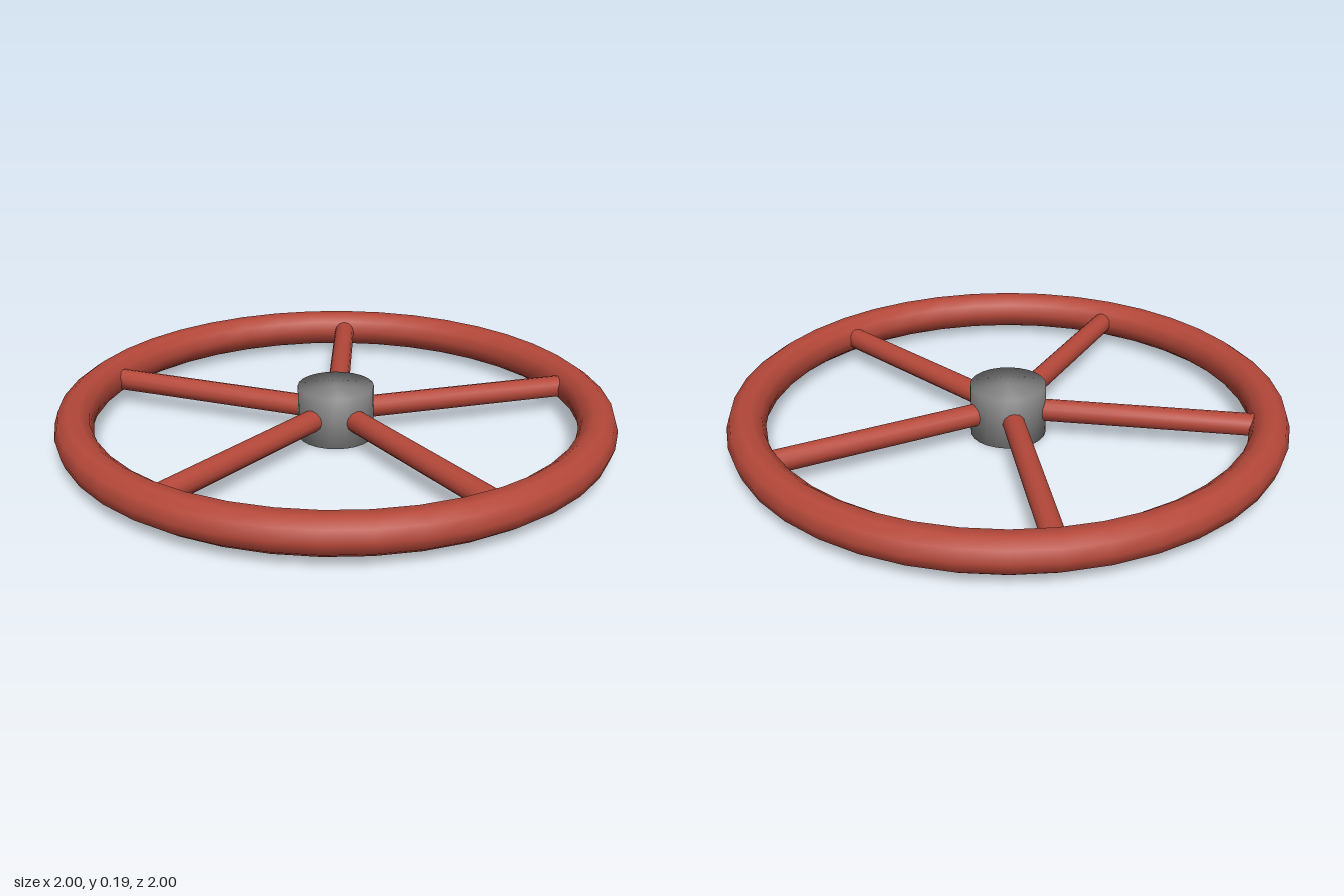
import * as THREE from 'three';
import { mergeVertices } from 'three/addons/utils/BufferGeometryUtils.js';

const CENTER_Y = 0.095;
const SPOKES = 5;

// Cylinder whose shading rolls softly over the cap edges
function softCylinder(radius, length, sides) {
  const g = new THREE.CylinderGeometry(radius, radius, length, sides);
  g.deleteAttribute('uv');
  g.deleteAttribute('normal');
  const merged = mergeVertices(g);
  merged.computeVertexNormals();
  return merged;
}

export function createModel() {
  const model = new THREE.Group();
  model.name = 'handwheel';

  const red = new THREE.MeshStandardMaterial({ color: 0xb5483a });
  red.name = 'red paint';
  const gray = new THREE.MeshStandardMaterial({ color: 0x858585 });
  gray.name = 'gray metal';

  // Rim lying flat
  const rim = new THREE.Mesh(new THREE.TorusGeometry(0.931, 0.069, 10, 40), red);
  rim.name = 'rim';
  rim.rotation.x = -Math.PI / 2;
  rim.position.y = CENTER_Y;
  model.add(rim);

  // Central hub
  const hub = new THREE.Mesh(softCylinder(0.137, 0.19, 24), gray);
  hub.name = 'hub';
  hub.position.y = CENTER_Y;
  model.add(hub);

  // Spokes from the hub centre to the inner edge of the rim
  const length = 0.88;
  const spokeGeometry = softCylinder(0.04, length, 12);
  spokeGeometry.rotateZ(-Math.PI / 2);
  spokeGeometry.translate(length / 2, 0, 0);
  for (let i = 0; i < SPOKES; i++) {
    const spoke = new THREE.Mesh(spokeGeometry, red);
    spoke.name = `spoke${i + 1}`;
    spoke.position.y = CENTER_Y;
    spoke.rotation.y = (i * Math.PI * 2) / SPOKES;
    model.add(spoke);
  }

  return model;
}
